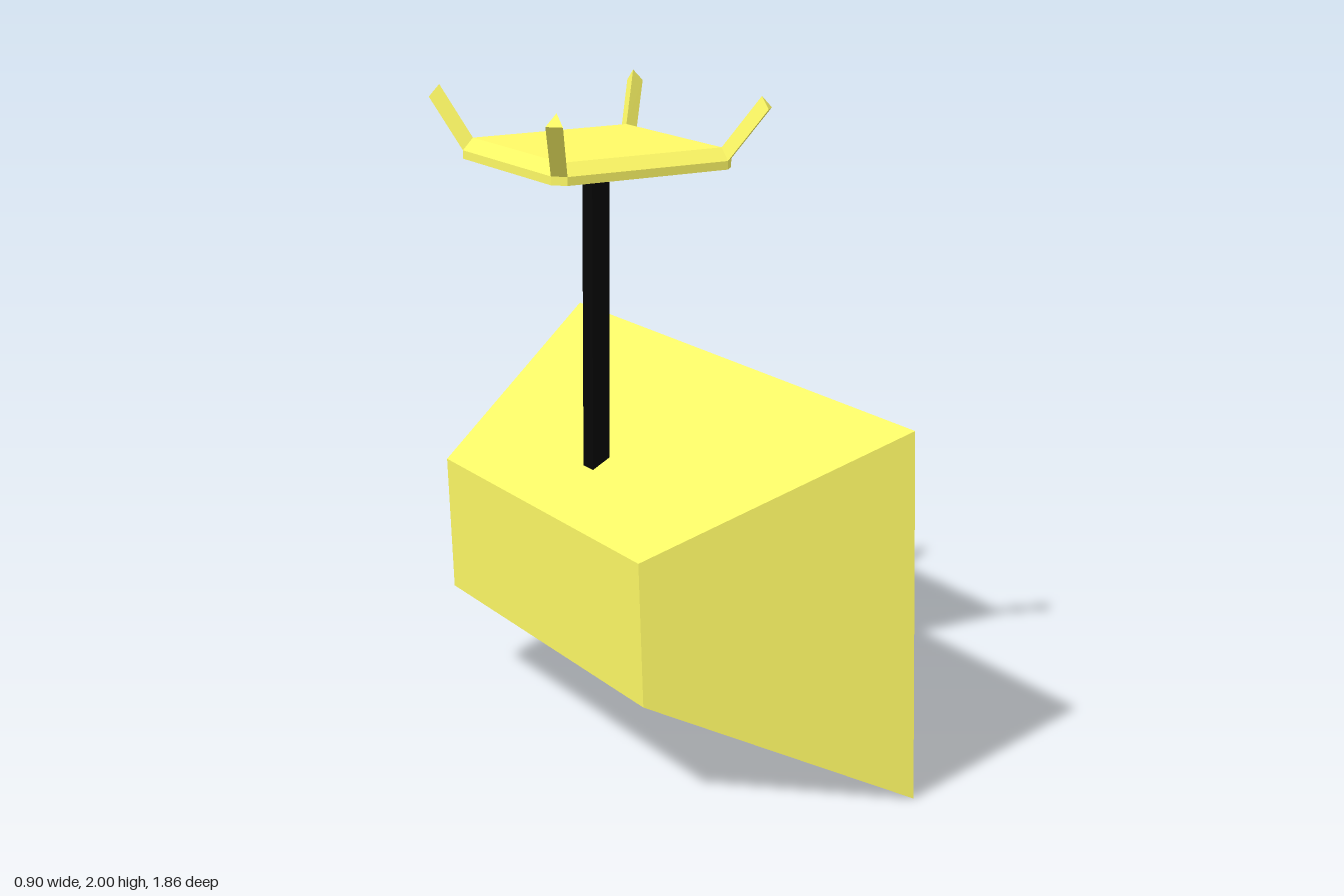
import * as THREE from 'three';

const material = (color) => new THREE.MeshStandardMaterial({ color, flatShading: true });

// Flat-faced skin through rings of points; rings run counter-clockwise seen from the last ring's end.
function loft(rings, capStart, capEnd) {
  const pos = [];
  const tri = (a, b, c) => pos.push(...a, ...b, ...c);
  const n = rings[0].length;
  for (let r = 0; r < rings.length - 1; r++) {
    for (let i = 0; i < n; i++) {
      const j = (i + 1) % n, p = rings[r], q = rings[r + 1];
      tri(p[i], p[j], q[j]);
      tri(p[i], q[j], q[i]);
    }
  }
  const first = rings[0], last = rings[rings.length - 1];
  for (let i = 1; i < n - 1; i++) {
    if (capStart) tri(first[0], first[i + 1], first[i]);
    if (capEnd) tri(last[0], last[i], last[i + 1]);
  }
  const geo = new THREE.BufferGeometry();
  geo.setAttribute('position', new THREE.Float32BufferAttribute(pos, 3));
  geo.computeVertexNormals();
  return geo;
}

// Rectangle across z, leaning in x between its bottom and top edges.
const frame = (xLow, yLow, xTop, yTop, z) =>
  [[xLow, yLow, z], [xLow, yLow, -z], [xTop, yTop, -z], [xTop, yTop, z]];

export function createModel() {
  const model = new THREE.Group();
  const yellow = material(0xfffa66);
  const black = material(0x060606);
  const grey = new THREE.MeshStandardMaterial({ color: 0xcccccc });
  const add = (name, geo, mat, parent = model) => {
    const mesh = new THREE.Mesh(geo, mat);
    mesh.name = name;
    parent.add(mesh);
    return mesh;
  };

  // Hood: tapered shell open towards +x, with a shallower dark lining
  const opening = frame(0.447, 0, 0.403, 1.125, 0.932);
  add('hoodShell', loft([frame(-0.272, 0.32, -0.29, 0.757, 0.592), opening], true, false), yellow);
  add('hoodLining', loft([opening, frame(-0.07, 0.36, -0.085, 0.71, 0.34)], false, true), black);

  // Three lamp tubes whose ends run into the sloping side walls of the lining
  [0.856, 0.577, 0.297].forEach((y, i) => {
    const tube = add('lampTube' + (i + 1), new THREE.CylinderGeometry(0.053, 0.053, 1.48, 32), grey);
    tube.rotation.x = Math.PI / 2;
    tube.position.set(0.167, y, 0);
  });

  // Square pole from the hood up to the mount
  const pole = add('pole', new THREE.BoxGeometry(0.058, 0.95, 0.058), black);
  pole.position.set(-0.078, 1.295, 0);

  // Mount: bevelled plate with cut corners and a shallow pyramid underneath
  const mount = new THREE.Group();
  mount.name = 'mount';
  mount.position.x = -0.078;
  model.add(mount);
  const a = 0.266, b = 0.3;
  const octagon = (y, inner, outer) => [
    [outer, y, -inner], [inner, y, -outer], [-inner, y, -outer], [-outer, y, -inner],
    [-outer, y, inner], [-inner, y, outer], [inner, y, outer], [outer, y, inner],
  ];
  add('mountPlate', loft([
    octagon(1.743, 0, 0), octagon(1.785, a, b), octagon(1.81, a, b), octagon(1.845, a, a),
  ], false, true), yellow, mount);

  // Four three-sided prongs leaning out from the plate's corners
  for (const sx of [-1, 1]) {
    for (const sz of [-1, 1]) {
      const section = (x, y, z, d) => {
        const tip = [sx * x, y, sz * z];
        const sideX = [sx * (x + d), y - 0.035, sz * z];
        const sideZ = [sx * x, y - 0.035, sz * (z + d)];
        return sx * sz > 0 ? [tip, sideZ, sideX] : [tip, sideX, sideZ];
      };
      const spread = sz > 0 ? 0.365 : 0.342;
      add('prong', loft([section(a, 1.845, a, b - a), section(0.336, 2, spread, 0.035)], true, true),
        yellow, mount);
    }
  }
  return model;
}
